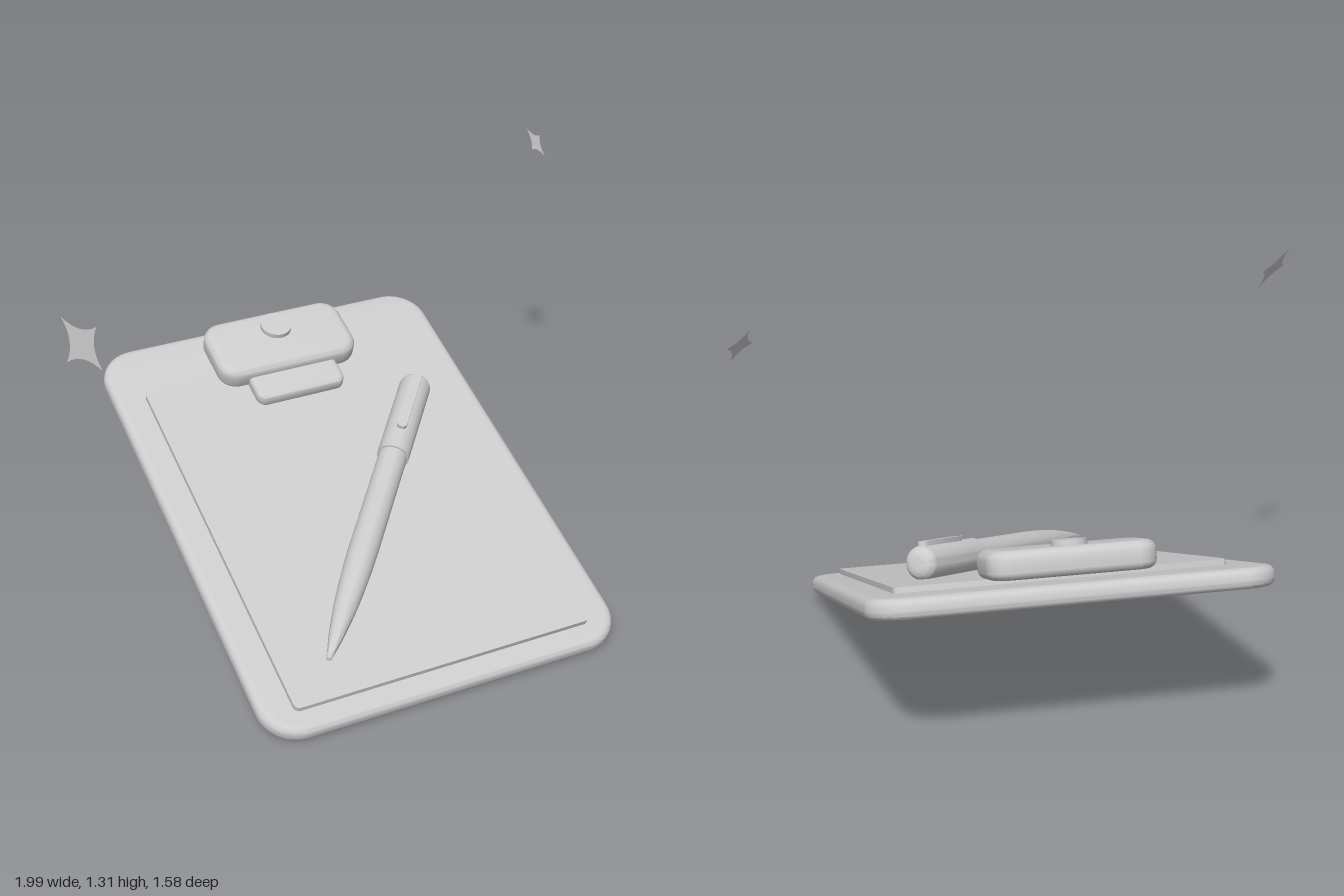
import * as THREE from 'three';
import { toCreasedNormals } from 'three/addons/utils/BufferGeometryUtils.js';

const grey = new THREE.MeshStandardMaterial({ color: 0xcccccc });
grey.name = 'light grey';
const greySheet = grey.clone();
greySheet.name = 'light grey';
greySheet.side = THREE.DoubleSide;

function part(name, geometry, material = grey) {
  const mesh = new THREE.Mesh(geometry, material);
  mesh.name = name;
  return mesh;
}

// Rounded slab in the XY plane, thickness along z from 0 to depth
function slab(width, length, depth, corner, bevel = 0) {
  const w = width / 2 - bevel, l = length / 2 - bevel, r = corner - bevel;
  const shape = new THREE.Shape();
  shape.absarc(w - r, l - r, r, 0, Math.PI / 2);
  shape.absarc(r - w, l - r, r, Math.PI / 2, Math.PI);
  shape.absarc(r - w, r - l, r, Math.PI, Math.PI * 1.5);
  shape.absarc(w - r, r - l, r, Math.PI * 1.5, Math.PI * 2);
  const geometry = new THREE.ExtrudeGeometry(shape, {
    depth: depth - 2 * bevel, curveSegments: 10,
    bevelEnabled: bevel > 0, bevelSize: bevel, bevelThickness: bevel, bevelSegments: 6,
  });
  geometry.translate(0, 0, bevel);
  return toCreasedNormals(geometry, 0.6);
}

// Slab lying on the board between heights y0 and y1, from zBack to zFront
function layer(name, width, zBack, zFront, y0, y1, corner, bevel) {
  const mesh = part(name, slab(width, zFront - zBack, y1 - y0, corner, bevel).rotateX(-Math.PI / 2));
  mesh.position.set(0, y0, (zBack + zFront) / 2);
  return mesh;
}

function lathe(points) {
  return toCreasedNormals(new THREE.LatheGeometry(points, 40), 0.7);
}

// Pen built along +y from its tip, pocket clip on +z
function makePen() {
  const pen = new THREE.Group();
  pen.name = 'pen';
  const v = (x, y) => new THREE.Vector2(x, y);
  const taper = new THREE.SplineCurve(
    [v(0.008, 0), v(0.024, 0.09), v(0.039, 0.22), v(0.047, 0.36), v(0.049, 0.46)]).getPoints(20);
  pen.add(part('penBarrel', lathe([v(0, -0.004), ...taper, v(0.049, 0.9)])));

  const cap = [v(0.045, 0.87), v(0.055, 0.87)];
  for (let i = 0; i <= 8; i++) {
    const a = (i / 8) * Math.PI / 2;
    cap.push(v(0.02 + 0.035 * Math.cos(a), 1.211 + 0.035 * Math.sin(a)));
  }
  cap.push(v(0, 1.246));
  pen.add(part('penCap', lathe(cap)));

  const clip = part('penPocketClip', slab(0.034, 0.26, 0.028, 0.016));
  clip.position.set(0, 1.085, 0.04);
  pen.add(clip);
  return pen;
}

// Flat four-pointed sparkle with concave sides, facing diagonally forward
function sparkle(name, size, x, y, z) {
  const shape = new THREE.Shape();
  shape.moveTo(size, 0);
  for (let i = 0; i < 4; i++) {
    const mid = (i + 0.5) * Math.PI / 2, end = (i + 1) * Math.PI / 2;
    const c = size * 0.26;
    shape.quadraticCurveTo(c * Math.cos(mid), c * Math.sin(mid), size * Math.cos(end), size * Math.sin(end));
  }
  const mesh = part(name, new THREE.ShapeGeometry(shape, 8), greySheet);
  mesh.position.set(x, y, z);
  mesh.lookAt(x + 1, y + 1, z + 1);
  mesh.rotateZ(0.06);
  return mesh;
}

export function createModel() {
  const model = new THREE.Group();
  model.name = 'clipboardWithPen';

  // Tilted clipboard
  const clipboard = new THREE.Group();
  clipboard.name = 'clipboard';
  clipboard.position.set(0.03, 0.28, 0);
  clipboard.rotation.x = THREE.MathUtils.degToRad(18);
  clipboard.add(
    layer('board', 1.25, -0.83, 0.83, -0.032, 0.032, 0.13, 0.026),
    layer('paper', 1.04, -0.6, 0.756, 0.03, 0.05, 0.02),
    layer('clipBody', 0.52, -0.775, -0.515, 0.05, 0.138, 0.07, 0.03),
    layer('clipLip', 0.33, -0.6, -0.413, 0.05, 0.1, 0.035, 0.016),
  );
  const button = part('clipButton', new THREE.CylinderGeometry(0.055, 0.055, 0.03, 36));
  button.position.set(0, 0.14, -0.688);
  clipboard.add(button);

  // Pen lying diagonally on the paper
  const pen = makePen();
  const along = new THREE.Vector3(0.77, 0, -0.98).normalize();
  const up = new THREE.Vector3(0, 1, 0);
  const side = new THREE.Vector3().crossVectors(along, up);
  pen.quaternion.setFromRotationMatrix(new THREE.Matrix4().makeBasis(side, along, up));
  pen.position.set(-0.37, 0.1, 0.65);
  clipboard.add(pen);
  model.add(clipboard);

  // Floating sparkles
  model.add(
    sparkle('rightSparkle', 0.098, -0.93, 1.235, 0.283),
    sparkle('leftSparkle', 0.063, 0.952, 1.238, -0.428),
  );
  return model;
}
